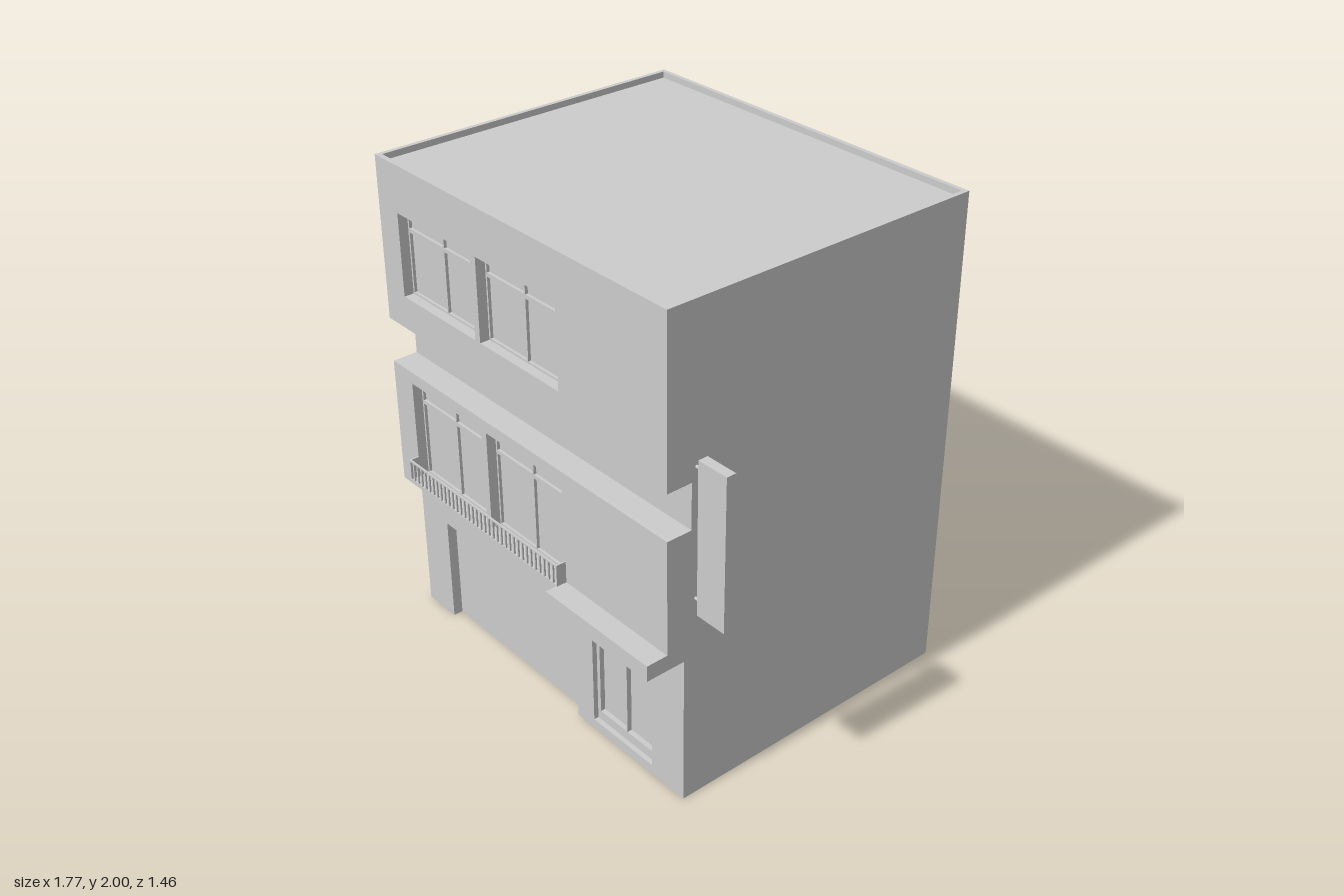
import * as THREE from 'three';

const mat = new THREE.MeshStandardMaterial({ color: 0xcccccc, side: THREE.DoubleSide, flatShading: true });

// Outer limits and front planes of the building
const L = -0.89, R = 0.72, BACK = -0.73, GROUND = 0.56, UPPER = 0.635, NOTCH = 0.53, TOP = 2;

function add(parent, name, geo) {
  const m = new THREE.Mesh(geo, mat);
  m.name = name;
  parent.add(m);
  return m;
}

function box(parent, name, x0, x1, y0, y1, z0, z1) {
  const g = new THREE.BoxGeometry(x1 - x0, y1 - y0, z1 - z0);
  return add(parent, name, g.translate((x0 + x1) / 2, (y0 + y1) / 2, (z0 + z1) / 2));
}

const rectPoints = ([x0, x1, y0, y1]) =>
  [[x0, y0], [x1, y0], [x1, y1], [x0, y1]].map(p => new THREE.Vector2(...p));

// Flat rectangle [x0, x1, y0, y1] with rectangular holes
function sheet(rect, holes = []) {
  const s = new THREE.Shape(rectPoints(rect));
  for (const h of holes) s.holes.push(new THREE.Path(rectPoints(h).reverse()));
  return new THREE.ShapeGeometry(s);
}

const panel = (parent, name, rect, z, holes) => add(parent, name, sheet(rect, holes).translate(0, 0, z));

// Horizontal rectangle [x0, x1, z0, z1] facing up
const deck = (parent, name, [x0, x1, z0, z1], y, holes = []) =>
  add(parent, name, sheet([x0, x1, -z1, -z0], holes.map(([a, b, c, d]) => [a, b, -d, -c]))
    .rotateX(-Math.PI / 2).translate(0, y, 0));

// Four inner sides of an opening, running from z0 back to z1
function reveal(rect, z0, z1) {
  const c = rectPoints(rect), pos = [];
  c.forEach((a, i) => {
    const b = c[(i + 1) % 4];
    pos.push(a.x, a.y, z0, b.x, b.y, z1, b.x, b.y, z0, a.x, a.y, z0, a.x, a.y, z1, b.x, b.y, z1);
  });
  const g = new THREE.BufferGeometry();
  g.setAttribute('position', new THREE.Float32BufferAttribute(pos, 3));
  g.computeVertexNormals();
  return g;
}

// Recessed opening: reveal, frame with openings, and panes set behind it
function glazing(parent, name, rect, z, lights, depth, inset) {
  const g = new THREE.Group();
  g.name = name;
  parent.add(g);
  add(g, 'reveal', reveal(rect, z, z - depth));
  panel(g, 'frame', rect, z - depth, lights);
  for (const l of lights) {
    add(g, 'paneEdge', reveal(l, z - depth, z - depth - inset));
    panel(g, 'pane', l, z - depth - inset);
  }
}

// Two sashes below a transom with two small lights
function windowLights([x0, x1, y0, y1], transom) {
  const b = 0.008, mid = (x0 + x1) / 2, out = [];
  for (const [a, c] of [[x0 + b, mid - 0.004], [mid + 0.004, x1 - b]]) {
    out.push([a, c, y0 + b, transom], [a, c, transom + 0.016, y1 - b]);
  }
  return out;
}

export function createModel() {
  const model = new THREE.Group();
  model.name = 'building';

  // Side walls follow the stepped front
  const profile = [[BACK, 0], [GROUND, 0], [GROUND, 0.625], [UPPER, 0.625], [UPPER, 1.155],
    [NOTCH, 1.155], [NOTCH, 1.34], [UPPER, 1.34], [UPPER, TOP], [BACK, TOP]];
  const side = new THREE.Shape(profile.map(p => new THREE.Vector2(-p[0], p[1])));
  add(model, 'leftWall', new THREE.ShapeGeometry(side).rotateY(Math.PI / 2).translate(R, 0, 0));
  add(model, 'rightWall', new THREE.ShapeGeometry(side).rotateY(Math.PI / 2).translate(L, 0, 0));
  add(model, 'backWall', sheet([-R, -L, 0, TOP]).rotateY(Math.PI).translate(0, 0, BACK));

  // Ledges between the storeys
  deck(model, 'overhangSoffit', [L, R, GROUND, UPPER], 0.625);
  deck(model, 'notchLedge', [L, R, NOTCH, UPPER], 1.155);
  deck(model, 'notchSoffit', [L, R, NOTCH, UPPER], 1.34);
  panel(model, 'notchWall', [L, R, 1.155, 1.34], NOTCH);

  // Roof behind a thin parapet
  const inner = [L + 0.018, R - 0.018, BACK + 0.018, UPPER - 0.02];
  deck(model, 'parapetTop', [L, R, BACK, UPPER], TOP, [inner]);
  deck(model, 'roof', inner, TOP - 0.025);
  const [ix0, ix1, iz0, iz1] = inner;
  add(model, 'parapetInside', reveal([ix0, ix1, -iz1, -iz0], 0, -0.025).rotateX(-Math.PI / 2).translate(0, TOP, 0));

  // Upper storeys with paired windows
  const storeys = [
    { name: 'middle', y: [0.625, 1.155], win: [0.69, 1.105], transom: 1.005 },
    { name: 'top', y: [1.34, TOP], win: [1.475, 1.81], transom: 1.725 },
  ];
  for (const s of storeys) {
    const rects = [[-0.77, -0.32, ...s.win], [-0.29, 0.16, ...s.win]];
    panel(model, s.name + 'FrontWall', [L, R, ...s.y], UPPER, rects);
    for (const r of rects) glazing(model, s.name + 'Window', r, UPPER, windowLights(r, s.transom), 0.04, 0.012);
  }

  // Ground floor: wide shutter opening and double door
  const shutter = [-0.72, 0.11, 0, 0.515], door = [0.208, 0.545, 0.04, 0.615];
  panel(model, 'groundWallRight', [L, -0.72, 0, 0.625], GROUND);
  panel(model, 'groundLintel', [-0.72, 0.11, 0.515, 0.625], GROUND);
  panel(model, 'groundWallLeft', [0.11, R, 0, 0.625], GROUND, [door]);
  for (const x of [-0.72, 0.11])
    add(model, 'shutterJamb', sheet([-GROUND, -GROUND + 0.04, 0, 0.515]).rotateY(Math.PI / 2).translate(x, 0, 0));
  deck(model, 'shutterHead', [-0.72, 0.11, GROUND - 0.04, GROUND], 0.515);
  panel(model, 'shutter', shutter, GROUND - 0.04);
  box(model, 'shutterHousing', -0.735, 0.125, 0.515, 0.6, GROUND, 0.607);
  glazing(model, 'door', door, GROUND, [[0.225, 0.376, 0.08, 0.55], [0.382, 0.525, 0.08, 0.55]], 0.02, 0.02);

  // Canopy over the door
  box(model, 'canopy', 0.16, R, 0.625, 0.69, GROUND, 0.725);

  // Balcony railing
  const rail = new THREE.Group();
  rail.name = 'railing';
  model.add(rail);
  const x0 = -0.772, x1 = 0.165, zf = 0.677;
  box(rail, 'balconyFloor', x0, x1, 0.688, 0.694, UPPER, zf);
  box(rail, 'topRail', x0, x1, 0.773, 0.78, zf - 0.007, zf);
  for (const x of [x0, x1 - 0.007]) box(rail, 'endPanel', x, x + 0.007, 0.69, 0.78, UPPER, zf);
  const n = 36;
  for (let i = 1; i < n; i++) {
    const x = x0 + (x1 - x0) * i / n;
    box(rail, 'baluster', x - 0.004, x + 0.004, 0.694, 0.773, zf - 0.007, zf);
  }

  // Projecting blank sign on two brackets
  box(model, 'signBoard', 0.75, 0.885, 0.825, 1.44, 0.49, 0.53);
  for (const y of [0.872, 1.395])
    add(model, 'signBracket', new THREE.CylinderGeometry(0.006, 0.006, 0.03, 8)
      .rotateZ(Math.PI / 2).translate(0.735, y, 0.51));

  return model;
}
